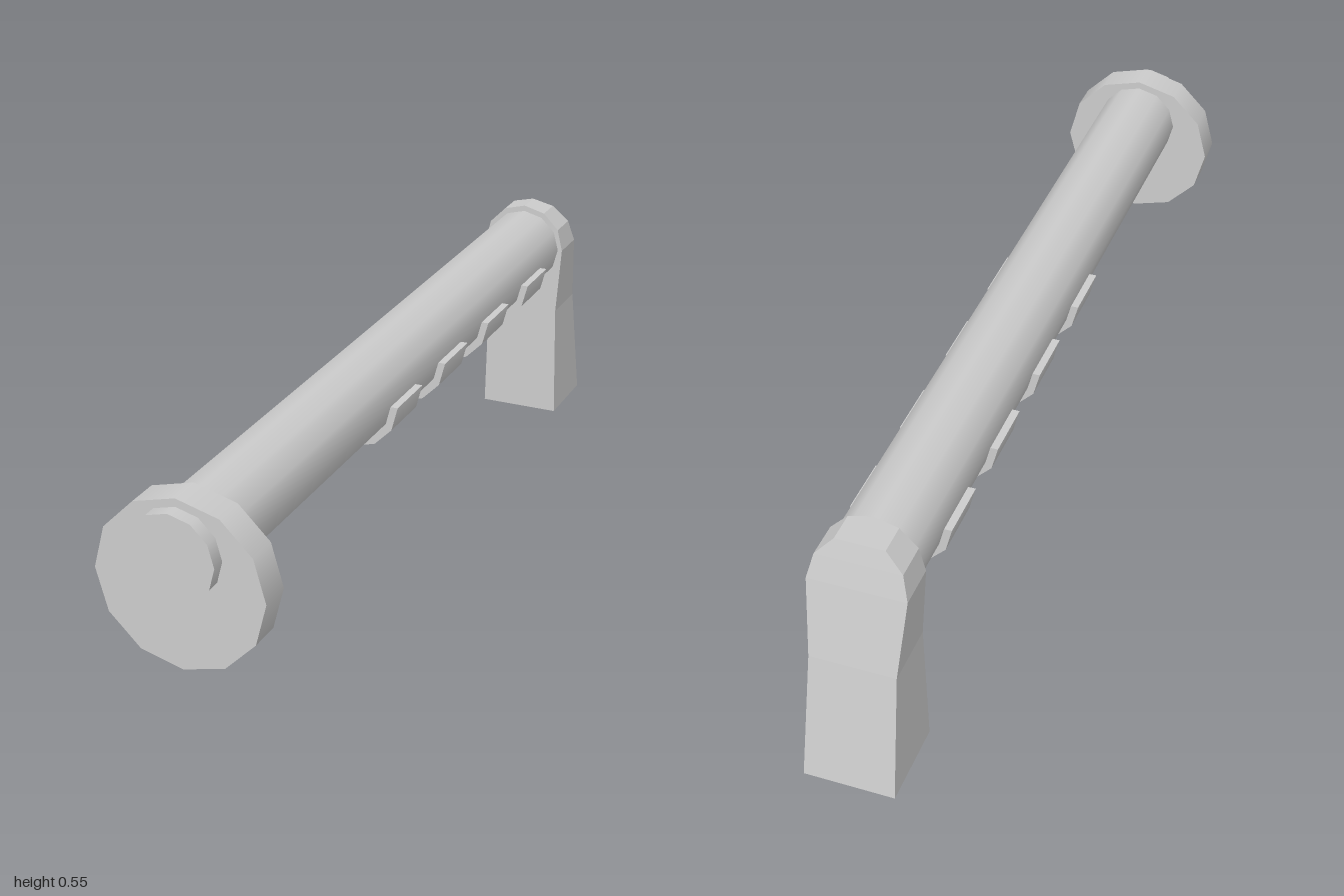
import * as THREE from 'three';

const grey = new THREE.MeshStandardMaterial({ color: 0xcccccc });
const thin = new THREE.MeshStandardMaterial({ color: 0xcccccc, side: THREE.DoubleSide, flatShading: true });

function add(parent, name, geometry, material = grey) {
  const mesh = new THREE.Mesh(geometry, material);
  mesh.name = name;
  parent.add(mesh);
  return mesh;
}

// Twelve-sided cylinder lying along z, from z0 to z1
function rod(radius, y, z0, z1) {
  return new THREE.CylinderGeometry(radius, radius, z1 - z0, 12)
    .rotateX(Math.PI / 2)
    .translate(0, y, (z0 + z1) / 2);
}

// Hollow bracket: rows of [height, half width, back z], flat in front, open below
function bracketGeometry() {
  const front = -0.815;
  const rows = [
    [0, 0.097, -1], [0.28, 0.091, -0.948], [0.445, 0.103, -0.908],
    [0.498, 0.09, -0.893], [0.537, 0.052, -0.881], [0.551, 0, -0.876],
  ];
  const positions = [];
  const index = [];
  for (const [y, w, back] of rows) {
    positions.push(-w, y, front, w, y, front, w, y, back, -w, y, back);
  }
  for (let r = 0; r < rows.length - 1; r++) {
    for (let c = 0; c < 4; c++) {
      const a = r * 4 + c, b = r * 4 + (c + 1) % 4;
      index.push(a, b, b + 4, a, b + 4, a + 4);
    }
  }
  const geometry = new THREE.BufferGeometry();
  geometry.setAttribute('position', new THREE.Float32BufferAttribute(positions, 3));
  geometry.setIndex(index);
  const flat = geometry.toNonIndexed();
  flat.computeVertexNormals();
  return flat;
}

export function createModel() {
  const model = new THREE.Group();
  model.name = 'handle';

  // Long bar and the off-centre disc near its front end
  add(model, 'bar', rod(0.092, 0.445, -0.83, 1));
  add(model, 'frontDisc', rod(0.179, 0.375, 0.9, 0.97));

  // Grip ridges wrapped round the underside of the bar
  const radius = 0.107, length = 0.132;
  for (let i = 0; i < 4; i++) {
    const ridge = new THREE.Group();
    ridge.name = `gripRidge${i + 1}`;
    ridge.position.set(0, 0.44, 0.156 - i * 0.26);
    add(ridge, 'ridgeShell', new THREE.CylinderGeometry(
      radius, radius, length, 6, 1, false, -Math.PI / 2, Math.PI).rotateX(Math.PI / 2));
    add(ridge, 'ridgeLedge', new THREE.PlaneGeometry(radius * 2, length).rotateX(-Math.PI / 2));
    model.add(ridge);
  }

  // Tapered rear bracket with rounded top
  add(model, 'rearBracket', bracketGeometry(), thin);

  return model;
}
